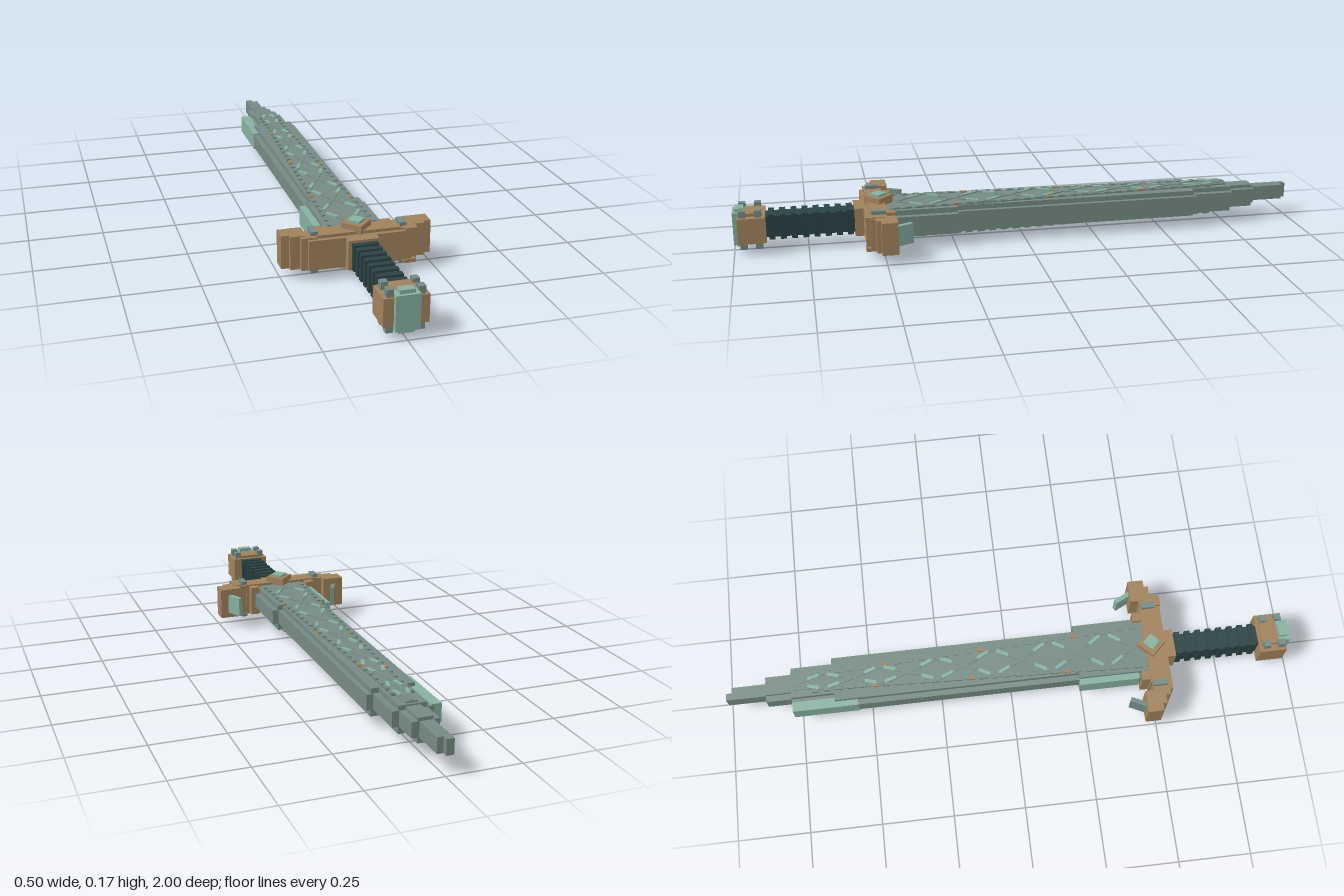
import * as THREE from 'three';

const MID = 0.087; // height of the sword's centre plane

const material = (name, color) => {
  const m = new THREE.MeshStandardMaterial({ color });
  m.name = name;
  return m;
};

export function createModel() {
  const slate = material('slate steel', 0x768a84);
  const mint = material('mint patina', 0x86b09f);
  const copper = material('aged copper', 0xa0825c);
  const dark = material('dark teal leather', 0x2b4244);

  const root = new THREE.Group();
  root.name = 'sword';
  const group = (name) => {
    const g = new THREE.Group();
    g.name = name;
    root.add(g);
    return g;
  };

  // Box given by its limits in x, y and z
  const box = (parent, name, mat, x0, x1, y0, y1, z0, z1) => {
    const m = new THREE.Mesh(new THREE.BoxGeometry(x1 - x0, y1 - y0, z1 - z0), mat);
    m.position.set((x0 + x1) / 2, (y0 + y1) / 2, (z0 + z1) / 2);
    m.name = name;
    parent.add(m);
    return m;
  };
  // The same box on the upper and the lower face
  const boxPair = (parent, name, mat, x0, x1, h0, h1, z0, z1) => {
    box(parent, name, mat, x0, x1, MID + h0, MID + h1, z0, z1);
    box(parent, name, mat, x0, x1, MID - h1, MID - h0, z0, z1);
  };
  // Thin bar between two points on both faces
  const bar = (parent, name, mat, ax, az, bx, bz, h, thick, width) => {
    for (const s of [1, -1]) {
      const len = Math.hypot(bx - ax, bz - az);
      const m = new THREE.Mesh(new THREE.BoxGeometry(width, thick, len), mat);
      m.position.set((ax + bx) / 2, MID + s * h, (az + bz) / 2);
      m.rotation.y = Math.atan2(bx - ax, bz - az);
      m.name = name;
      parent.add(m);
    }
  };

  // Blade: thin cutting edge, thicker middle slab, tapered raised core
  const blade = group('blade');
  box(blade, 'tipPoint', slate, -0.025, 0, 0.065, 0.117, -1, -0.98);
  for (const [x0, x1, z0, z1] of [
    [-0.025, 0.02, -0.98, -0.86], [-0.047, 0.045, -0.86, -0.77],
    [-0.07, 0.068, -0.77, -0.625], [-0.093, 0.09, -0.625, 0.24], [-0.11, 0.112, 0.24, 0.5],
  ]) box(blade, 'cuttingEdge', slate, x0, x1, 0.065, 0.117, z0, z1);
  for (const [w, h, z0, z1] of [
    [0.025, 0.041, -0.86, -0.77], [0.047, 0.046, -0.77, -0.62],
    [0.074, 0.047, -0.62, 0.24], [0.092, 0.048, 0.24, 0.5],
  ]) box(blade, 'middleSlab', slate, -w, w, MID - h, MID + h, z0, z1);
  box(blade, 'patinaEdgeTip', mint, -0.095, -0.06, 0.06, 0.122, -0.77, -0.54);
  box(blade, 'patinaEdgeBase', mint, -0.115, -0.09, 0.058, 0.124, 0.24, 0.45);

  const halfWidth = (z) => THREE.MathUtils.clamp(0.057 + z * 0.042, 0.034, 0.08);
  const coreShape = new THREE.Shape([
    [-0.02, 0.76], [0.02, 0.76], [0.034, 0.62], [0.057, 0], [0.08, -0.49],
    [-0.08, -0.49], [-0.057, 0], [-0.034, 0.62],
  ].map(([x, y]) => new THREE.Vector2(x, y)));
  const coreGeo = new THREE.ExtrudeGeometry(coreShape, { depth: 0.102, bevelEnabled: false });
  coreGeo.rotateX(-Math.PI / 2);
  const core = new THREE.Mesh(coreGeo, slate);
  core.position.y = MID - 0.051;
  core.name = 'bladeCore';
  blade.add(core);

  // Diamond lattice with patina highlights
  const lattice = group('bladeLattice');
  for (let i = 0; i < 6; i++) {
    const c = 0.345 - i * 0.2;
    const w = halfWidth(c) - 0.006;
    for (const sx of [1, -1]) for (const sz of [1, -1]) {
      bar(lattice, 'latticeBar', slate, 0, c + sz * 0.1, sx * w, c, 0.052, 0.004, 0.011);
      bar(lattice, 'patinaBar', mint, sx * w * 0.45, c + sz * 0.055, sx * w * 0.85, c + sz * 0.015,
        0.053, 0.006, 0.012);
    }
  }

  // Row of small plates along the core's borders
  for (let i = 0; i < 28; i++) {
    const z = 0.45 - i * 0.042;
    for (const s of [1, -1]) {
      const x = s * (halfWidth(z) - 0.002);
      const mat = i % 8 === (s > 0 ? 5 : 6) ? copper : slate;
      boxPair(lattice, 'borderPlate', mat, x - 0.006, x + 0.006, 0.046, 0.055, z - 0.012, z + 0.012);
    }
  }

  // Crossguard: stepped boxes sweeping toward the blade
  const guard = group('crossguard');
  box(guard, 'guardCentre', copper, -0.17, 0.17, 0.04, 0.137, 0.5, 0.56);
  box(guard, 'guardBody', copper, -0.14, 0.14, 0.03, 0.147, 0.485, 0.545);
  box(guard, 'gripCollar', copper, -0.05, 0.05, 0.038, 0.137, 0.555, 0.59);
  for (const s of [1, -1]) {
    const side = (name, mat, xa, xb, y0, y1, z0, z1) =>
      box(guard, name, mat, Math.min(s * xa, s * xb), Math.max(s * xa, s * xb), y0, y1, z0, z1);
    side('guardArm', copper, 0.135, 0.19, 0.034, 0.143, 0.49, 0.548);
    side('guardWing', copper, 0.17, 0.222, 0.033, 0.145, 0.46, 0.53);
    side('guardEnd', copper, 0.21, 0.248, 0.033, 0.145, 0.46, 0.515);
    side('guardKnob', copper, 0.095, 0.128, 0.035, 0.142, 0.457, 0.5);
    for (const [y0, y1] of [[0.018, 0.031], [0.146, 0.159]])
      side('guardStud', slate, 0.135, 0.157, y0, y1, 0.492, 0.54);
    // Slanted claw on the blade side
    const claw = new THREE.Mesh(new THREE.BoxGeometry(0.016, 0.07, 0.065), s > 0 ? mint : slate);
    claw.position.set(s * 0.2, MID, 0.438);
    claw.rotation.y = s * 0.45;
    claw.name = 'guardClaw';
    guard.add(claw);
  }
  boxPair(guard, 'guardPatch', copper, 0.145, 0.184, 0.048, 0.06, 0.5, 0.563);

  // Diamond ornament through the guard
  for (const [name, mat, diag, height] of [
    ['diamondFrame', copper, 0.05, 0.158], ['diamondGem', mint, 0.03, 0.174],
  ]) {
    const side = diag * Math.SQRT2;
    const d = new THREE.Mesh(new THREE.BoxGeometry(side, height, side), mat);
    d.position.set(0, MID, 0.505);
    d.rotation.y = Math.PI / 4;
    d.name = name;
    guard.add(d);
  }

  // Grip with raised wraps
  const grip = group('grip');
  box(grip, 'gripCore', dark, -0.034, 0.034, 0.05, 0.124, 0.57, 0.9);
  for (let i = 0; i < 8; i++) {
    const z = 0.595 + i * 0.038;
    box(grip, 'gripWrap', dark, -0.041, 0.041, 0.043, 0.131, z, z + 0.02);
  }

  // Pommel with patina cap and corner studs
  const pommel = group('pommel');
  box(pommel, 'pommelBlock', copper, -0.07, 0.07, 0.042, 0.131, 0.89, 0.985);
  box(pommel, 'pommelBand', copper, -0.045, 0.045, 0.032, 0.142, 0.9, 0.98);
  box(pommel, 'pommelCap', mint, -0.038, 0.038, 0.03, 0.143, 0.96, 1);
  boxPair(pommel, 'pommelCapStud', mint, -0.024, 0.024, 0.055, 0.068, 0.962, 0.99);
  for (const x of [-0.048, 0.048]) for (const z of [0.915, 0.967])
    boxPair(pommel, 'pommelStud', slate, x - 0.011, x + 0.011, 0.043, 0.068, z - 0.012, z + 0.012);

  return root;
}
